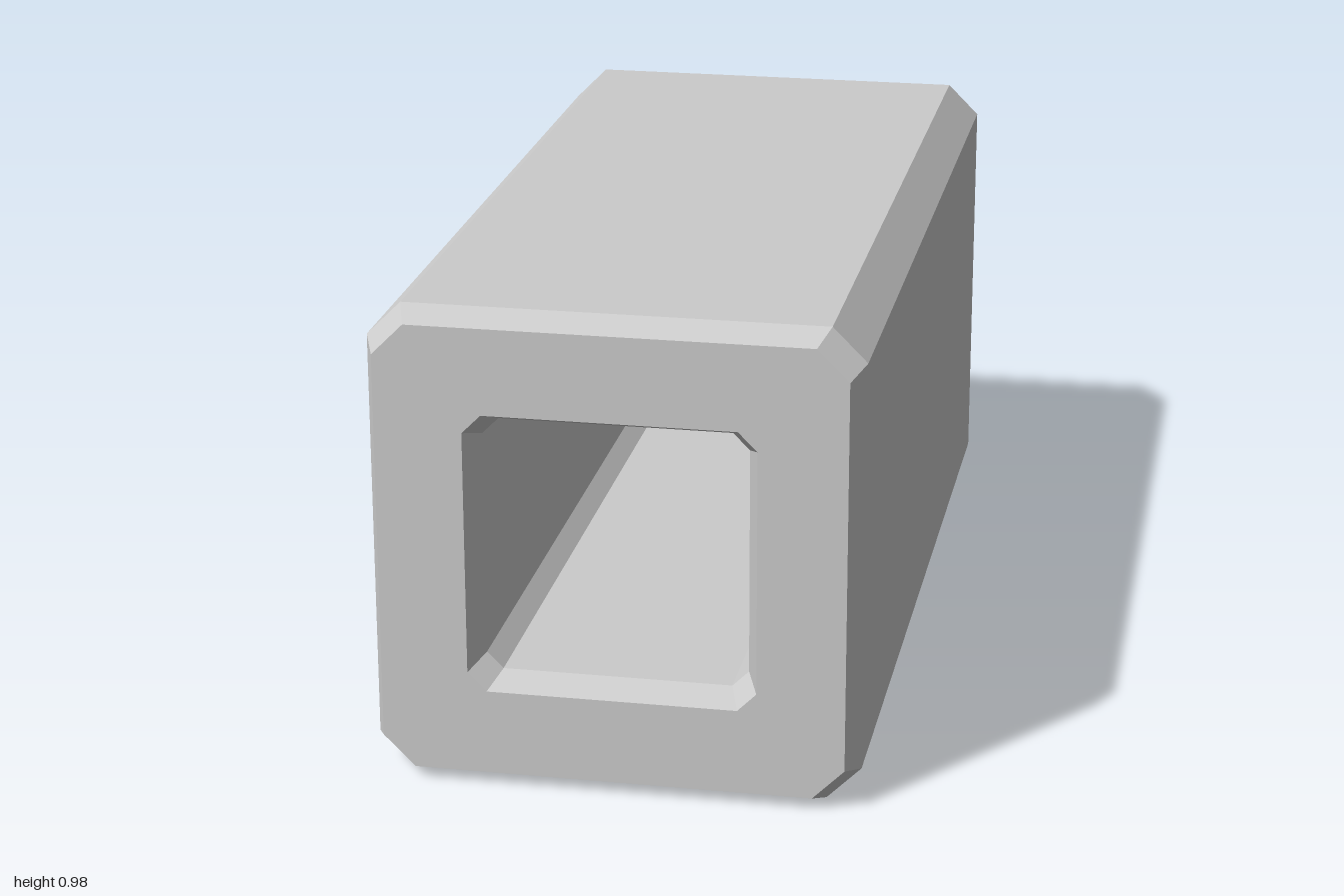
import * as THREE from 'three';

const CENTER_Y = 0.4875;

// Square with cut corners, counter-clockwise seen from the front
function chamferedSquare(half, flat, z) {
  const points = [];
  for (let k = 0; k < 4; k++) {
    const c = Math.round(Math.cos(k * Math.PI / 2));
    const s = Math.round(Math.sin(k * Math.PI / 2));
    for (const t of [-flat, flat]) {
      points.push([half * c - t * s, CENTER_Y + half * s + t * c, z]);
    }
  }
  return points;
}

// Skin a closed cycle of rings with flat quads
function loftClosed(rings) {
  const positions = [];
  rings.forEach((ring, r) => {
    const next = rings[(r + 1) % rings.length];
    for (let i = 0; i < ring.length; i++) {
      const j = (i + 1) % ring.length;
      const [a, b, c, d] = [ring[i], next[i], next[j], ring[j]];
      positions.push(...a, ...b, ...c, ...a, ...c, ...d);
    }
  });
  const geometry = new THREE.BufferGeometry();
  geometry.setAttribute('position', new THREE.Float32BufferAttribute(positions, 3));
  geometry.computeVertexNormals();
  return geometry;
}

export function createModel() {
  const group = new THREE.Group();
  group.name = 'squareTube';
  const material = new THREE.MeshStandardMaterial({ color: 0xcccccc, flatShading: true });

  // Half width, half length of the straight edge, z: outside front to back, then the bore back to front
  const sections = [
    [0.4625, 0.399, 1], [0.4875, 0.419, 0.938],
    [0.4875, 0.419, -0.938], [0.4625, 0.399, -1],
    [0.288, 0.25, -1], [0.263, 0.23, -0.938],
    [0.263, 0.23, 0.938], [0.288, 0.25, 1],
  ];
  const tube = new THREE.Mesh(loftClosed(sections.map((s) => chamferedSquare(...s))), material);
  tube.name = 'tubeBody';
  group.add(tube);
  return group;
}
